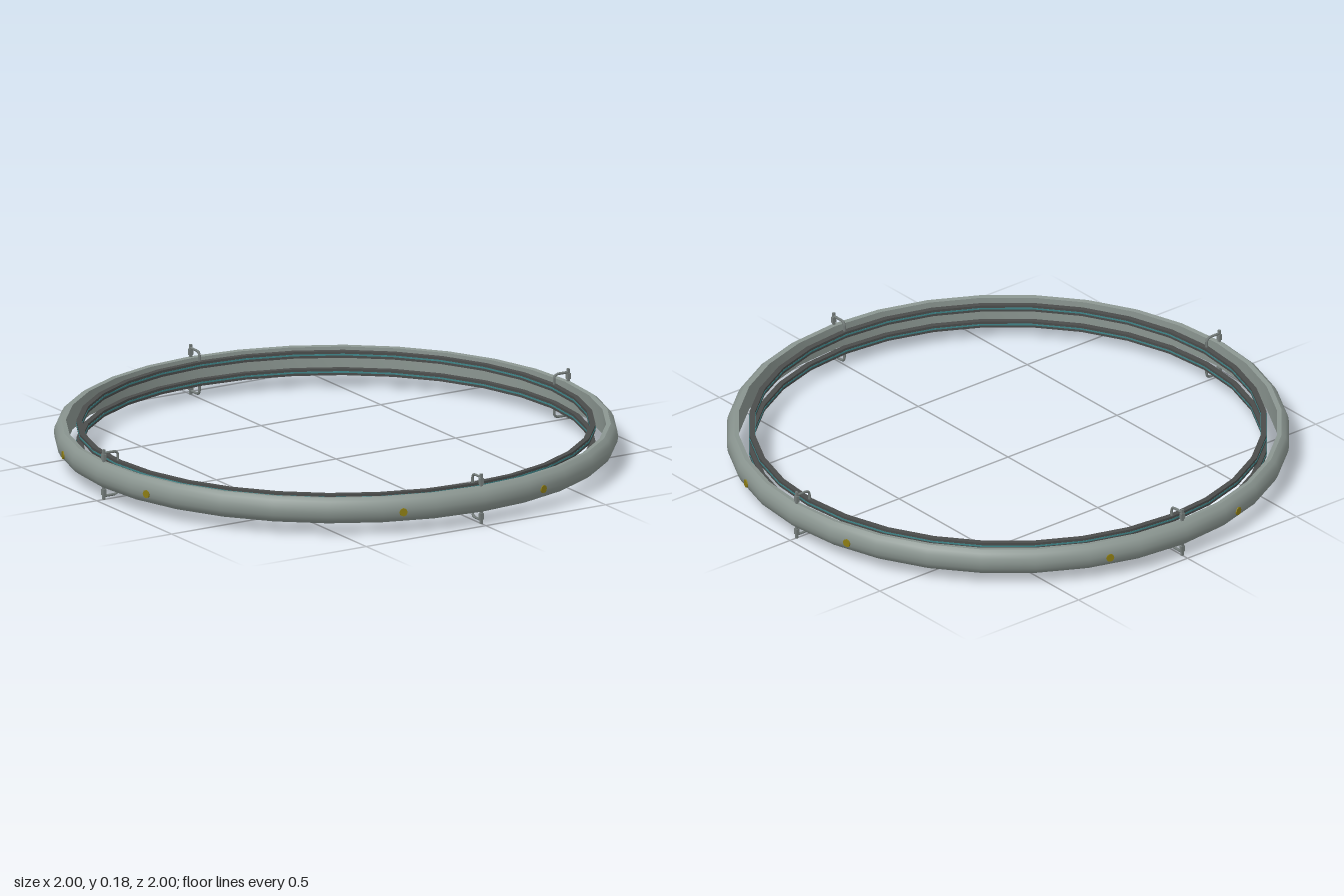
import * as THREE from 'three';
import { toCreasedNormals } from 'three/addons/utils/BufferGeometryUtils.js';

const SIDES = 32;
const MID = 0.092; // mid height of the ring

function material(name, color) {
  const m = new THREE.MeshStandardMaterial({ color });
  m.name = name;
  return m;
}

// Closed ring from a counter-clockwise [radius, height] profile
function ring(profile, crease) {
  const pts = [...profile, profile[0]].map(([r, y]) => new THREE.Vector2(r, y));
  return toCreasedNormals(new THREE.LatheGeometry(pts, SIDES), crease);
}

function band(r0, r1, y0, y1) {
  return ring([[r0, y0], [r1, y0], [r1, y1], [r0, y1]], 0.5);
}

export function createModel() {
  const model = new THREE.Group();
  model.name = 'ringStructure';
  const hull = material('hullGrey', 0x8a9590);
  const dark = material('darkGrey', 0x4a4c4b);
  const teal = material('teal', 0x3f8488);
  const metal = material('bracketGrey', 0x757d7b);
  const gold = material('gold', 0x8c7c14);

  const add = (parent, name, geometry, mat) => {
    const mesh = new THREE.Mesh(geometry, mat);
    mesh.name = name;
    parent.add(mesh);
    return mesh;
  };

  // Outer hull: bulging outside, flat inside wall
  add(model, 'outerRing', ring([
    [0.957, 0.047], [0.974, 0.045], [0.988, 0.056], [0.997, 0.073], [1, MID],
    [0.997, 0.111], [0.988, 0.128], [0.974, 0.139], [0.957, 0.137],
  ], 0.65), hull);

  // Two inner rails, each with a thin teal line
  for (const s of [-1, 1]) {
    const y = MID + s * 0.032;
    add(model, s > 0 ? 'upperRail' : 'lowerRail', band(0.9, 0.92, y - 0.012, y + 0.012), dark);
    add(model, s > 0 ? 'upperTealLine' : 'lowerTealLine', band(0.899, 0.921, y - 0.003, y + 0.003), teal);
  }

  // Bracket arm bends from the hull post over to the rail
  const arm = new THREE.CurvePath();
  const v = (x, y) => new THREE.Vector3(0, y, x);
  arm.add(new THREE.LineCurve3(v(0.97, 0.079), v(0.93, 0.079)));
  arm.add(new THREE.QuadraticBezierCurve3(v(0.93, 0.079), v(0.912, 0.079), v(0.911, 0.062)));
  arm.add(new THREE.LineCurve3(v(0.911, 0.062), v(0.911, 0.04)));
  const armGeometry = new THREE.TubeGeometry(arm, 12, 0.005, 6);
  const postGeometry = new THREE.BoxGeometry(0.01, 0.052, 0.008).translate(0, 0.066, 0.97);
  const collarGeometry = new THREE.BoxGeometry(0.016, 0.022, 0.012).translate(0, 0.065, 0.97);
  const lampGeometry = new THREE.CylinderGeometry(0.015, 0.015, 0.009, 8).rotateX(Math.PI / 2);

  // Four quarters: an upper and a lower bracket and two lamps each
  for (let i = 0; i < 4; i++) {
    const quarter = new THREE.Group();
    quarter.name = 'quarter' + (i + 1);
    quarter.rotation.y = i * Math.PI / 2;
    model.add(quarter);
    for (const s of [0, 1]) {
      const bracket = new THREE.Group();
      bracket.name = s ? 'lowerBracket' : 'upperBracket';
      bracket.position.y = MID;
      add(bracket, 'bracketArm', armGeometry, metal);
      add(bracket, 'bracketPost', postGeometry, metal);
      add(bracket, 'bracketCollar', collarGeometry, metal);
      // Half turn about the radial axis flips it below the ring
      bracket.rotation.z = s * Math.PI;
      quarter.add(bracket);
    }
    for (const x of [-0.31, 0.266]) {
      const angle = Math.asin(x / 0.994);
      const lamp = add(quarter, 'lamp', lampGeometry, gold);
      lamp.position.set(x, 0.084, Math.cos(angle) * 0.994);
      lamp.rotation.y = angle;
    }
  }
  return model;
}
